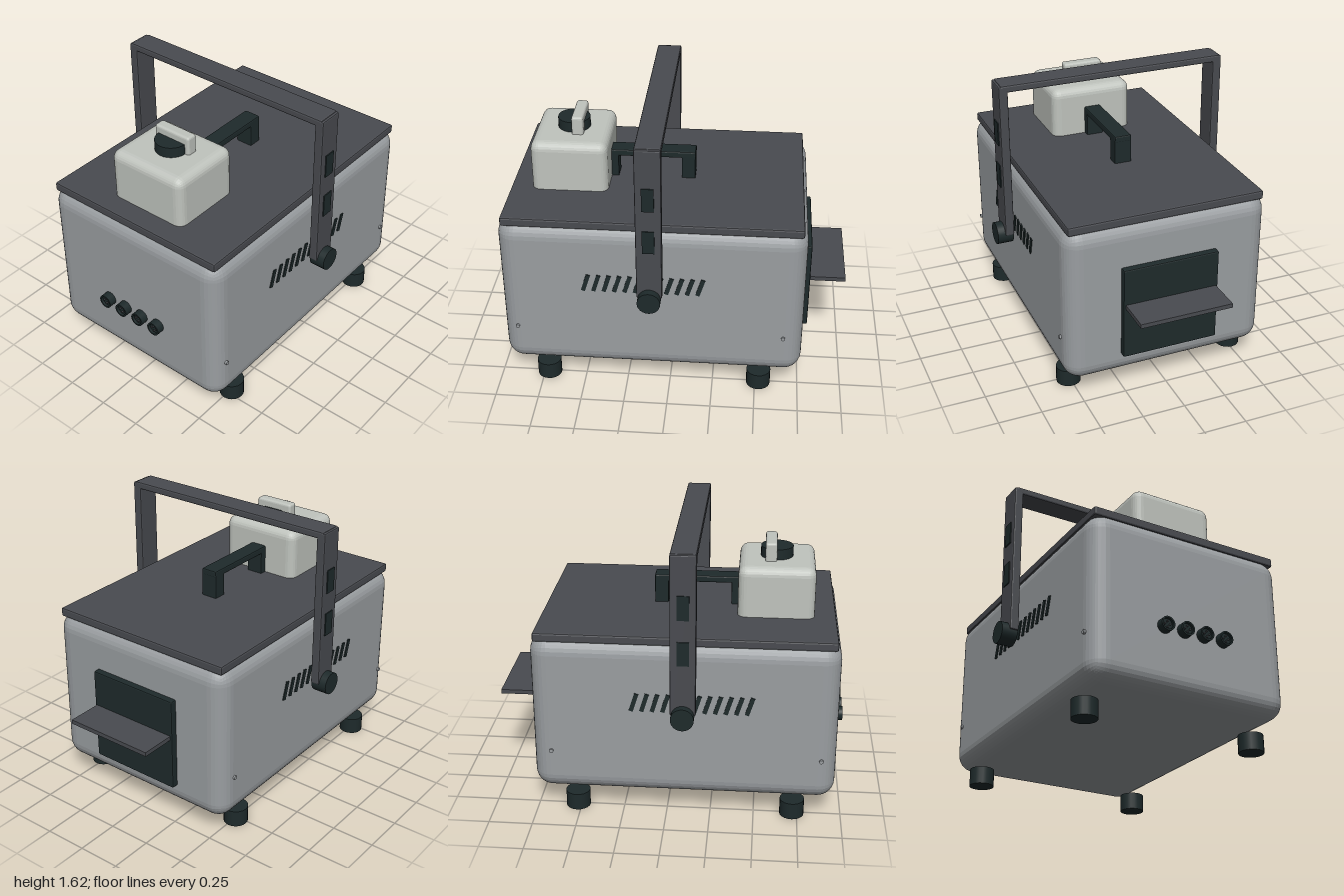
import * as THREE from 'three';
import { RoundedBoxGeometry } from 'three/addons/geometries/RoundedBoxGeometry.js';

export function createModel() {
  const model = new THREE.Group();
  model.name = 'portableUnit';

  const paint = (name, color) => {
    const m = new THREE.MeshStandardMaterial({ color });
    m.name = name;
    return m;
  };
  const grey = paint('bodyGrey', 0x9a9ea1);
  const charcoal = paint('charcoal', 0x494b50);
  const black = paint('rubberBlack', 0x1e2a2b);
  const cream = paint('paleCream', 0xc0c4be);

  const add = (name, geometry, material, x, y, z, parent = model) => {
    const mesh = new THREE.Mesh(geometry, material);
    mesh.name = name;
    mesh.position.set(x, y, z);
    parent.add(mesh);
    return mesh;
  };
  // Box given by its limits; r rounds the edges with small flat facets
  const block = (name, material, [x0, x1], [y0, y1], [z0, z1], r = 0, seg = 1) => {
    const size = [x1 - x0, y1 - y0, z1 - z0];
    const geo = r ? new RoundedBoxGeometry(...size, seg, r) : new THREE.BoxGeometry(...size);
    if (r) geo.computeVertexNormals();
    return add(name, geo, material, (x0 + x1) / 2, (y0 + y1) / 2, (z0 + z1) / 2);
  };

  // Housing and lid
  block('housing', grey, [-0.595, 0.595], [0.135, 1.08], [-0.76, 0.955], 0.1, 4);
  block('lid', charcoal, [-0.572, 0.572], [1.053, 1.105], [-0.735, 0.93], 0.01);

  // Feet
  const footGeo = new THREE.CylinderGeometry(0.07, 0.07, 0.1, 20);
  for (const x of [-0.51, 0.51]) for (const z of [0.72, -0.52]) add('foot', footGeo, black, x, 0.05, z);

  // Carrying handle: crossbar plus mirrored arms, pivots and grip pads
  block('handleCrossbar', charcoal, [-0.668, 0.668], [1.577, 1.62], [0.029, 0.171], 0.01);
  const pivotGeo = new THREE.CylinderGeometry(0.065, 0.065, 0.093, 24).rotateZ(Math.PI / 2);
  const ventGeo = new THREE.BoxGeometry(0.02, 0.11, 0.024);
  const screwGeo = new THREE.CylinderGeometry(0.012, 0.012, 0.03, 10).rotateZ(Math.PI / 2);
  for (const s of [-1, 1]) {
    const span = (a, b) => (s > 0 ? [a, b] : [-b, -a]);
    block('handleArm', charcoal, span(0.627, 0.68), [0.69, 1.615], [0.029, 0.171], 0.008);
    add('handlePivot', pivotGeo, black, s * 0.677, 0.685, 0.1);
    for (const y of [1.06, 1.322]) {
      block('gripPad', black, span(0.678, 0.686), [y - 0.069, y + 0.069], [0.067, 0.134]);
    }
    // Slanted vents, leaning opposite ways on the two sides
    for (let i = 0; i < 12; i++) {
      const vent = add('ventSlot', ventGeo, black, s * 0.591, 0.72, 0.465 - i * 0.0584);
      vent.rotation.x = -s * 0.3;
    }
    for (const z of [0.87, -0.65]) add('sideScrew', screwGeo, grey, s * 0.59, 0.395, z);
  }

  // Lid grip
  block('lidGripBar', black, [-0.05, 0.05], [1.232, 1.272], [-0.11, 0.41], 0.008);
  for (const z of [-0.07, 0.372]) {
    block('lidGripPost', black, [-0.05, 0.05], [1.1, 1.25], [z - 0.039, z + 0.039], 0.005);
  }

  // Top module with its dial and upright tab
  block('topModule', cream, [-0.246, 0.246], [1.04, 1.395], [0.374, 0.808], 0.05, 3);
  add('dial', new THREE.CylinderGeometry(0.092, 0.092, 0.075, 28), black, 0, 1.4175, 0.587);
  block('dialTab', cream, [-0.118, 0.118], [1.36, 1.5], [0.521, 0.587], 0.014, 2);

  // Front sockets: ribbed collar, recessed face and pins
  const ring = new THREE.Shape().absarc(0, 0, 0.04, 0, Math.PI * 2);
  ring.holes.push(new THREE.Path().absarc(0, 0, 0.031, 0, Math.PI * 2, true));
  const collarGeo = new THREE.ExtrudeGeometry(ring, { depth: 0.06, bevelEnabled: false, curveSegments: 20 });
  const faceGeo = new THREE.CylinderGeometry(0.032, 0.032, 0.045, 20).rotateX(Math.PI / 2);
  const pinGeo = new THREE.CylinderGeometry(0.005, 0.005, 0.012, 8).rotateX(Math.PI / 2);
  for (const x of [-0.18, -0.06, 0.06, 0.18]) {
    const socket = new THREE.Group();
    socket.name = 'socket';
    socket.position.set(x, 0.49, 0.94);
    model.add(socket);
    add('socketCollar', collarGeo, black, 0, 0, 0, socket);
    add('socketFace', faceGeo, black, 0, 0, 0.0225, socket);
    for (let i = 0; i < 4; i++) {
      const a = (i * Math.PI) / 2;
      add('socketPin', pinGeo, charcoal, Math.cos(a) * 0.016, Math.sin(a) * 0.016, 0.048, socket);
    }
  }

  // Rear panel and shelf
  block('rearPanel', black, [-0.282, 0.282], [0.268, 0.82], [-0.797, -0.75], 0.008);
  block('rearShelf', charcoal, [-0.27, 0.27], [0.58, 0.605], [-1, -0.79]);

  return model;
}
